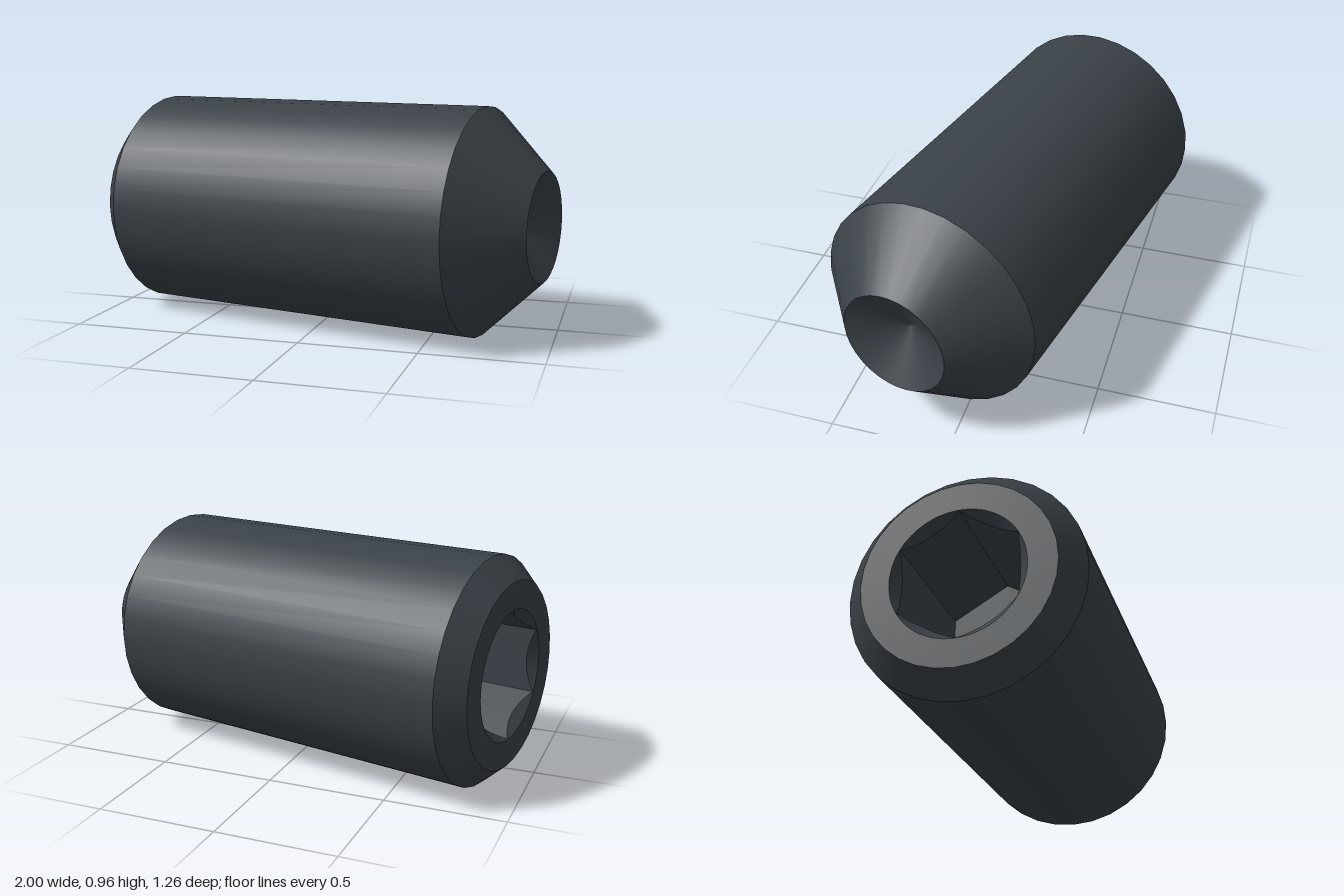
import * as THREE from 'three';

const SIDES = 32;
const RADIUS = 0.478;       // body radius
const HEAD = -0.938;        // axial position of the socket end
const HEAD_RADIUS = 0.388;
const TIP_RADIUS = 0.228;
const HEX_APOTHEM = 0.234;
const OPENING = 0.272;      // countersink radius at the head face
const SOCKET_DEPTH = 0.6;

// Radius of a regular polygon at angle a; offset is the angle of one flat's middle
function polygonRadius(a, sides, apothem, offset = 0) {
  const step = (Math.PI * 2) / sides;
  const t = a - offset;
  return apothem / Math.cos(t - Math.round(t / step) * step);
}

// Surface between two rings, each a function angle -> [radius, height]
function ringStrip(lower, upper, steps = 96) {
  const positions = [];
  const point = (ring, i) => {
    const a = ((i % steps) / steps) * Math.PI * 2;
    const [r, y] = ring(a);
    return [r * Math.sin(a), y, r * Math.cos(a)];
  };
  for (let i = 0; i < steps; i++) {
    const a = point(lower, i), b = point(lower, i + 1);
    const c = point(upper, i + 1), d = point(upper, i);
    positions.push(...a, ...b, ...d, ...c, ...d, ...b);
  }
  const geometry = new THREE.BufferGeometry();
  geometry.setAttribute('position', new THREE.Float32BufferAttribute(positions, 3));
  geometry.computeVertexNormals();
  return geometry;
}

export function createModel() {
  const steel = new THREE.MeshStandardMaterial({ color: 0x3a4147 });
  steel.name = 'dark steel';

  const model = new THREE.Group();
  model.name = 'setScrew';
  const screw = new THREE.Group();
  screw.name = 'screwBody';
  model.add(screw);

  const add = (name, geometry) => {
    const mesh = new THREE.Mesh(geometry, steel);
    mesh.name = name;
    screw.add(mesh);
  };

  // Turned outside: one smooth band per section keeps the edges between them sharp
  const bands = [
    ['headChamfer', [HEAD_RADIUS, HEAD], [RADIUS, -0.842]],
    ['shank', [RADIUS, -0.842], [RADIUS, 0.72]],
    ['tipCone', [RADIUS, 0.72], [TIP_RADIUS, 0.975]],
    ['tipCup', [TIP_RADIUS, 0.975], [0, 0.845]],
  ];
  for (const [name, from, to] of bands) {
    const points = [new THREE.Vector2(...from), new THREE.Vector2(...to)];
    add(name, new THREE.LatheGeometry(points, SIDES));
  }

  // Hexagonal socket with a 45 degree countersink that scallops the flats
  const half = Math.PI / SIDES;
  const hex = (a) => polygonRadius(a, 6, HEX_APOTHEM);
  const floor = (a) => [hex(a), HEAD + SOCKET_DEPTH];
  const scallop = (a) => [hex(a), HEAD + (OPENING - hex(a))];
  const opening = () => [OPENING, HEAD];
  const rim = (a) => [polygonRadius(a, SIDES, HEAD_RADIUS * Math.cos(half), half), HEAD];
  add('socketWalls', ringStrip(floor, scallop));
  add('socketCountersink', ringStrip(scallop, opening));
  add('headFace', ringStrip(opening, rim));

  const base = new THREE.CircleGeometry(HEX_APOTHEM / Math.cos(Math.PI / 6), 6);
  base.rotateX(Math.PI / 2);
  base.translate(0, HEAD + SOCKET_DEPTH, 0);
  add('socketFloor', base);

  // Lay the screw down along x, turned slightly about the vertical
  screw.rotation.set(0, -THREE.MathUtils.degToRad(12), -Math.PI / 2);
  screw.position.set(0, RADIUS, 0.013);
  return model;
}
